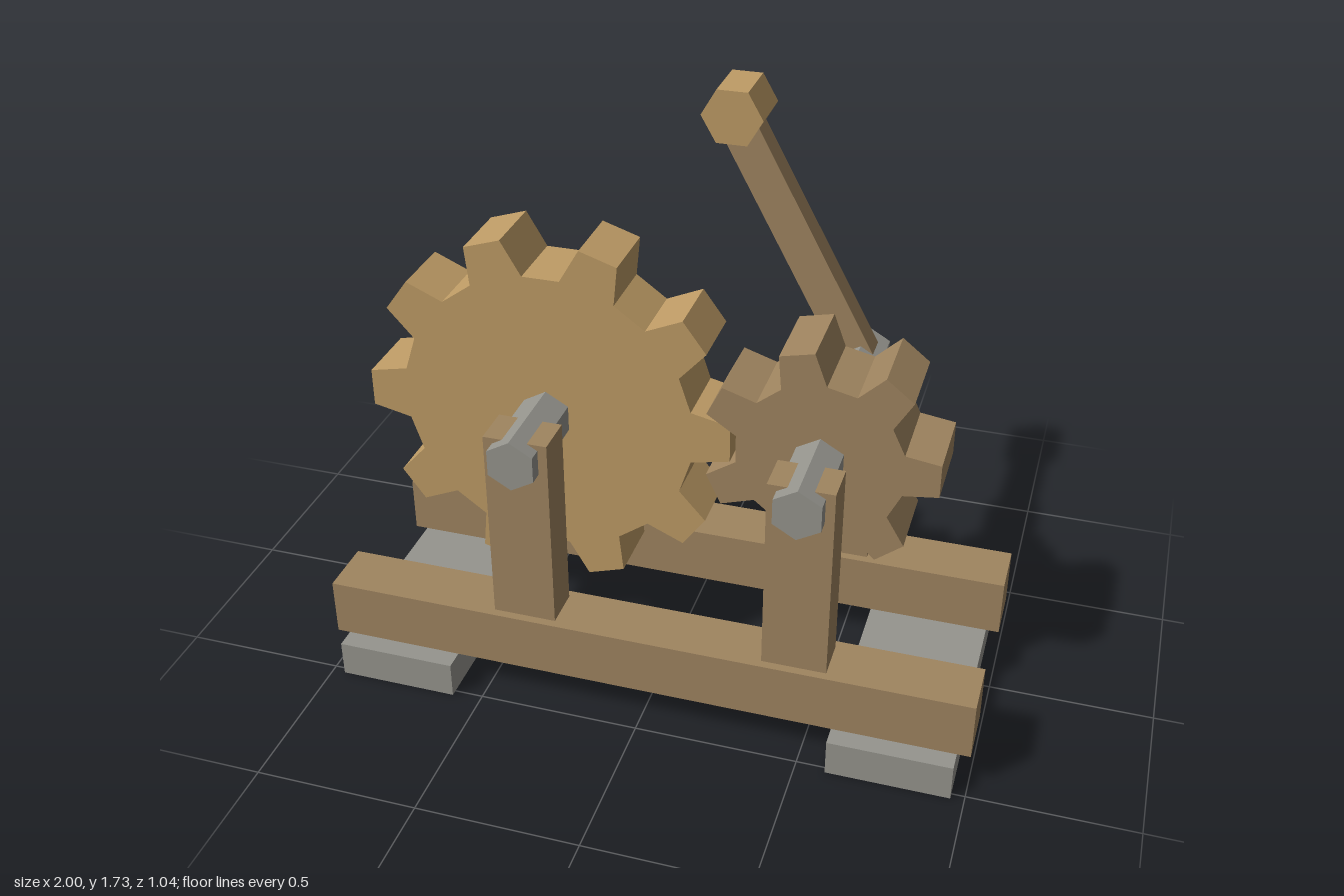
import * as THREE from 'three';

const material = (name, color) => {
  const m = new THREE.MeshStandardMaterial({ color });
  m.name = name;
  return m;
};

// Gear outline with tapered teeth, the first tooth pointing along +x
function gearGeometry(teeth, root, tip, depth) {
  const pitch = (Math.PI * 2) / teeth;
  const points = [];
  for (let i = 0; i < teeth; i++) {
    for (const [r, f] of [[root, -0.3], [tip, -1 / 6], [tip, 1 / 6], [root, 0.3]]) {
      const a = (i + f) * pitch;
      points.push(new THREE.Vector2(r * Math.cos(a), r * Math.sin(a)));
    }
  }
  return new THREE.ExtrudeGeometry(new THREE.Shape(points), { depth, bevelEnabled: false });
}

export function createModel() {
  const model = new THREE.Group();
  model.name = 'gearMachine';
  const wood = material('brown wood', 0xa08560);
  const paleWood = material('pale wood', 0xbf9c66);
  const grey = material('grey metal', 0x96958e);

  const add = (name, geometry, mat, x, y, z) => {
    const mesh = new THREE.Mesh(geometry, mat);
    mesh.name = name;
    mesh.position.set(x, y, z);
    model.add(mesh);
    return mesh;
  };

  // Box given by its limits on each axis
  const box = (name, mat, [x0, x1], [y0, y1], [z0, z1]) =>
    add(name, new THREE.BoxGeometry(x1 - x0, y1 - y0, z1 - z0), mat,
      (x0 + x1) / 2, (y0 + y1) / 2, (z0 + z1) / 2);

  // Hexagonal bar along z; turn = 0 puts a corner on top
  const hexBar = (name, mat, radius, x, y, z0, z1, turn = 0) => {
    const g = new THREE.CylinderGeometry(radius, radius, z1 - z0, 6).toNonIndexed();
    g.computeVertexNormals();
    g.rotateX(Math.PI / 2).rotateZ(turn);
    return add(name, g, mat, x, y, (z0 + z1) / 2);
  };

  const bigX = -0.37, smallX = 0.465, axleY = 0.86;

  // Feet across the base
  box('leftFoot', grey, [0.59, 0.96], [0, 0.115], [-0.375, 0.52]);
  box('rightFoot', grey, [-0.96, -0.59], [0, 0.115], [-0.375, 0.52]);

  // Front and back rails, each with two posts
  for (const [side, z] of [['front', 0.369], ['back', -0.221]]) {
    box(side + 'Rail', wood, [-1, 1], [0.115, 0.297], [z - 0.089, z + 0.089]);
    for (const [which, x] of [['Big', bigX], ['Small', smallX]]) {
      box(`${side}${which}GearPost`, wood, [x - 0.097, x + 0.097], [0.297, 0.918],
        [z - 0.063, z + 0.063]);
    }
  }

  // Axles and gears
  hexBar('bigAxle', grey, 0.08, bigX, axleY, -0.33, 0.475);
  hexBar('smallAxle', grey, 0.08, smallX, axleY, -0.49, 0.475);
  add('bigGear', gearGeometry(10, 0.455, 0.569, 0.21), paleWood, bigX, axleY, -0.03);
  add('smallGear', gearGeometry(7, 0.251, 0.351, 0.245), wood, smallX, axleY, -0.045);

  // Crank arm from just below the axle up into the handle
  const low = new THREE.Vector2(0.505, 0.796), high = new THREE.Vector2(0.06, 1.615);
  const arm = add('crankArm', new THREE.BoxGeometry(0.115, low.distanceTo(high), 0.082), wood,
    (low.x + high.x) / 2, (low.y + high.y) / 2, -0.4);
  arm.rotation.z = Math.atan2(low.x - high.x, high.y - low.y);
  hexBar('crankHandle', paleWood, 0.096, 0.045, 1.645, -0.52, -0.345, Math.PI / 6);

  return model;
}
